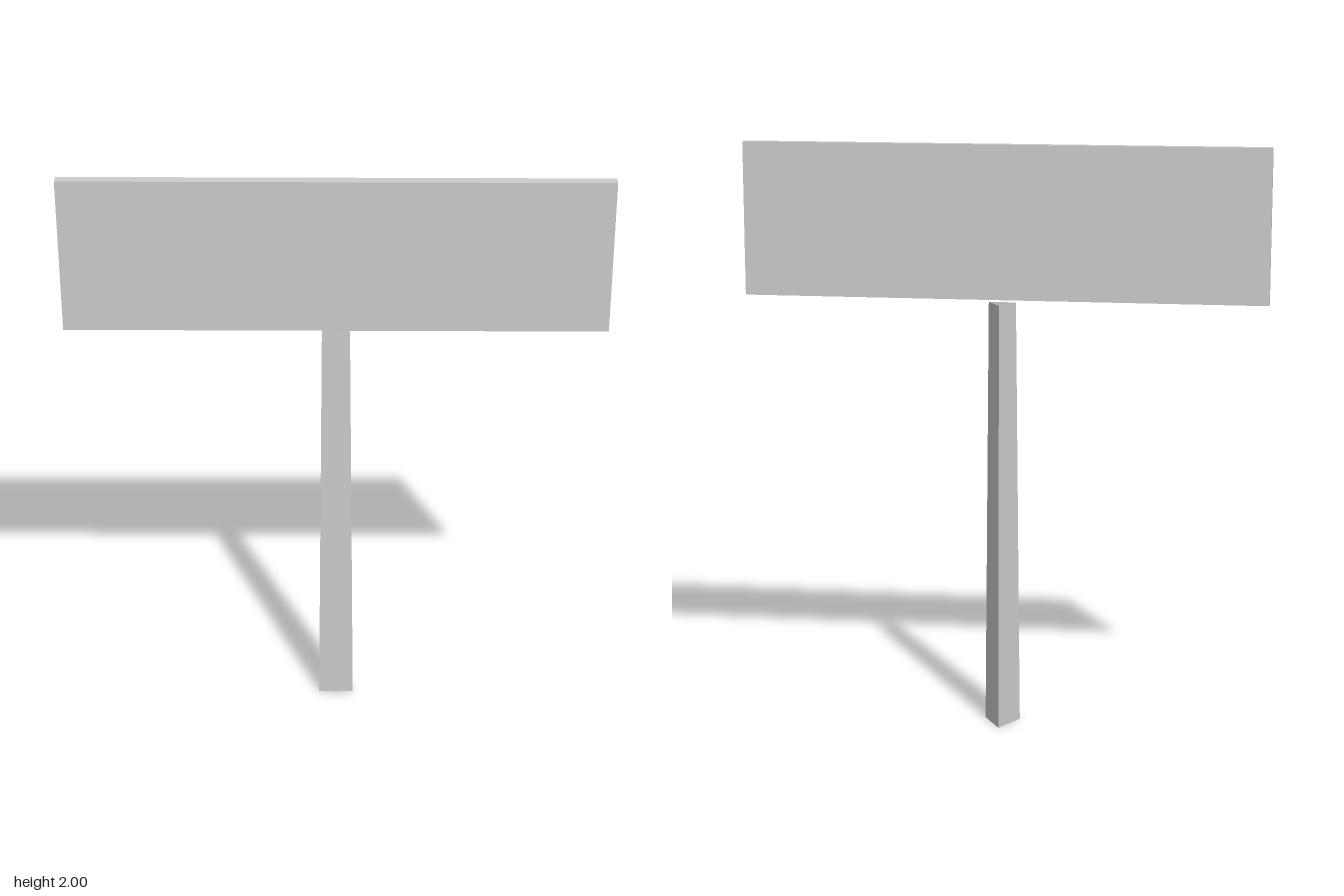
import * as THREE from 'three';

export function createModel() {
  const model = new THREE.Group();
  model.name = 'signpost';

  const grey = new THREE.MeshStandardMaterial({ color: 0xcccccc, flatShading: true, side: THREE.DoubleSide });
  grey.name = 'light grey';

  // Tapered three-sided post, open at both ends, with one edge at the back
  const postHeight = 1.474;
  const post = new THREE.Mesh(
    new THREE.CylinderGeometry(0.0535, 0.07, postHeight, 3, 1, true).rotateY(Math.PI),
    grey
  );
  post.name = 'post';
  post.position.set(0, postHeight / 2, -0.01);
  model.add(post);

  // Wide flat board standing just in front of the post
  const boardHeight = 0.524;
  const board = new THREE.Mesh(new THREE.BoxGeometry(1.788, boardHeight, 0.038), grey);
  board.name = 'board';
  board.position.set(0, 2 - boardHeight / 2, 0.063);
  model.add(board);

  return model;
}
